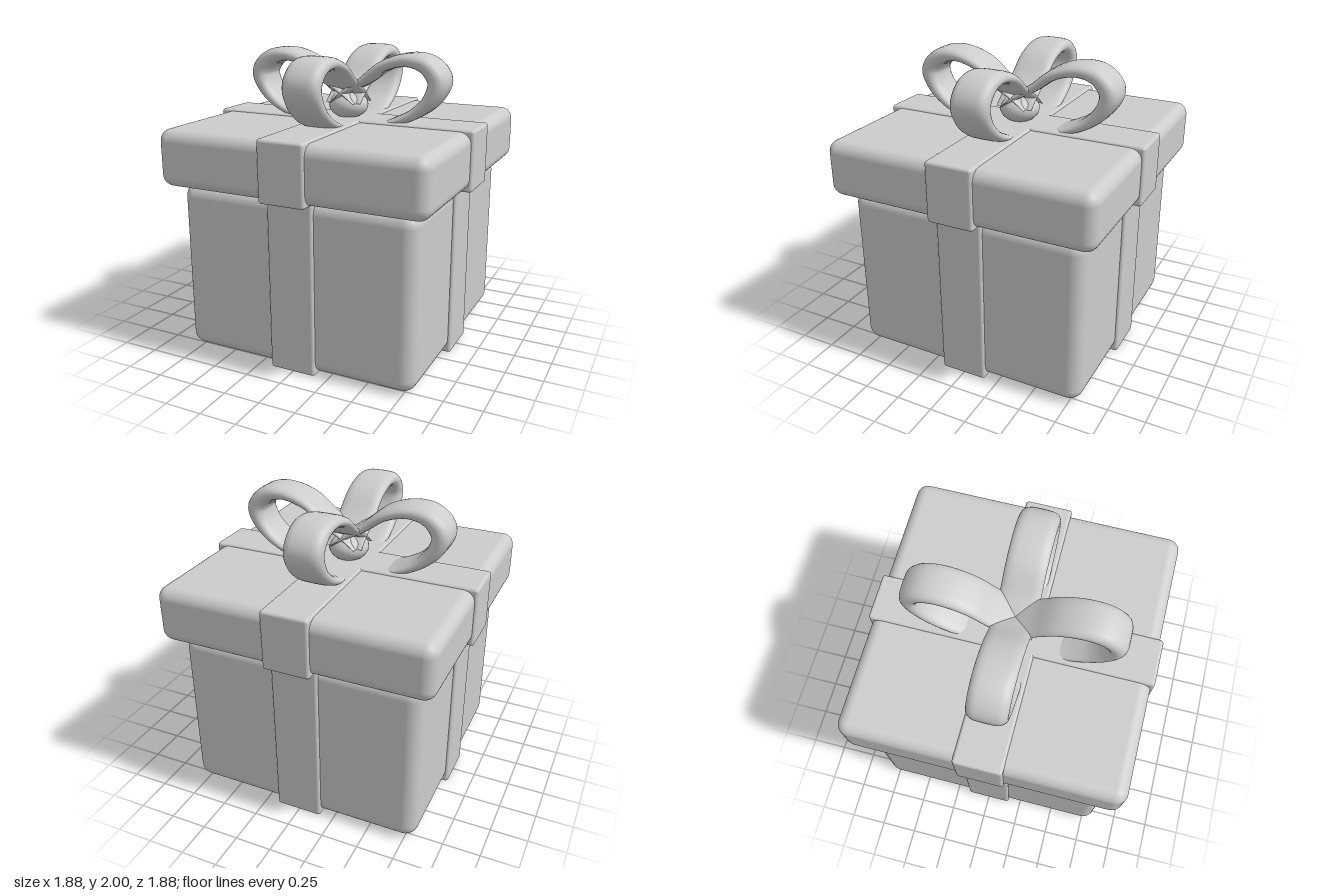
import * as THREE from 'three';
import { RoundedBoxGeometry } from 'three/addons/geometries/RoundedBoxGeometry.js';

const grey = new THREE.MeshStandardMaterial({ color: 0xcccccc });
grey.name = 'plain grey';

function part(name, geometry, parent) {
  const mesh = new THREE.Mesh(geometry, grey);
  mesh.name = name;
  parent.add(mesh);
  return mesh;
}

// Rounded block spanning y0..y1
function block(name, w, d, y0, y1, radius, parent) {
  const mesh = part(name, new RoundedBoxGeometry(w, y1 - y0, d, 5, radius), parent);
  mesh.position.y = (y0 + y1) / 2;
}

// Domed band swept along a path of [x, y, thickness] in the xy plane
function bandGeometry(points, halfWidth) {
  const path = new THREE.CatmullRomCurve3(points.map(([x, y]) => new THREE.Vector3(x, y, 0)));
  const thick = new THREE.CatmullRomCurve3(points.map(([, , t], i) => new THREE.Vector3(i, t, 0)));
  const steps = 56, sides = 24, pos = [], index = [];
  for (let i = 0; i <= steps; i++) {
    const u = i / steps;
    const p = path.getPoint(u), t = path.getTangent(u), h = thick.getPoint(u).y / 2;
    for (let j = 0; j < sides; j++) {
      const a = (j / sides) * Math.PI * 2, c = Math.cos(a), s = Math.sin(a) * h;
      const z = halfWidth * Math.sign(c) * Math.pow(Math.abs(c), 0.5);
      pos.push(p.x - t.y * s, p.y + t.x * s, z);
      if (i < steps) {
        const k = (j + 1) % sides, A = i * sides, B = A + sides;
        index.push(A + j, B + j, A + k, B + j, B + k, A + k);
      }
    }
  }
  const g = new THREE.BufferGeometry();
  g.setAttribute('position', new THREE.Float32BufferAttribute(pos, 3));
  g.setIndex(index);
  g.computeVertexNormals();
  return g;
}

export function createModel() {
  const gift = new THREE.Group();
  gift.name = 'giftBox';

  // Box and lid
  block('boxBody', 1.65, 1.65, 0.01, 1.17, 0.09, gift);
  block('lid', 1.85, 1.85, 1.16, 1.54, 0.08, gift);

  // Ribbons crossing over the box and the lid
  block('boxRibbonAcross', 1.69, 0.32, 0, 1.17, 0.02, gift);
  block('boxRibbonAlong', 0.32, 1.69, 0, 1.17, 0.02, gift);
  block('lidRibbonAcross', 1.885, 0.32, 1.15, 1.553, 0.02, gift);
  block('lidRibbonAlong', 0.32, 1.885, 1.15, 1.553, 0.02, gift);

  // Bow: four loops turned around a small knot
  const bow = new THREE.Group();
  bow.name = 'bow';
  gift.add(bow);
  const loop = bandGeometry([
    [-0.09, 1.65, 0.005], [0, 1.72, 0.04], [0.13, 1.8, 0.06], [0.28, 1.91, 0.075],
    [0.45, 1.955, 0.09], [0.58, 1.925, 0.115], [0.655, 1.83, 0.13], [0.62, 1.72, 0.105],
    [0.52, 1.62, 0.08], [0.4, 1.56, 0.06], [0.28, 1.525, 0.03],
  ], 0.13);
  for (let i = 0; i < 4; i++) {
    part('bowLoop' + (i + 1), loop, bow).rotation.y = (i * Math.PI) / 2;
  }
  const knot = part('bowKnot', new THREE.SphereGeometry(0.135, 24, 16), bow);
  knot.position.y = 1.63;
  knot.scale.y = 0.7;
  return gift;
}
